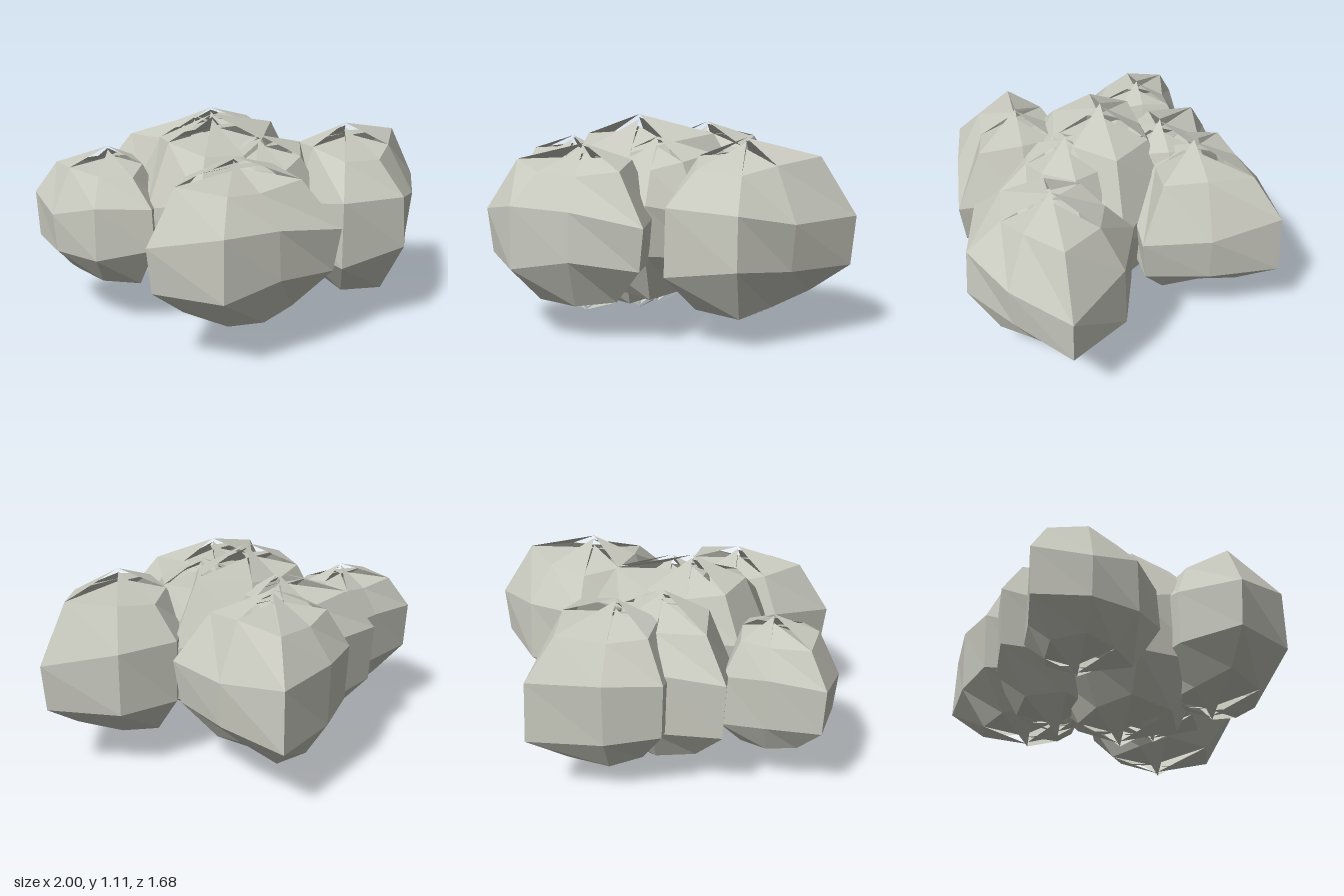
import * as THREE from 'three';

const SIDES = 8;
const CENTRE_Y = 0.557;

// Rings of a boulder from top to bottom, each with eight uneven corners from +x towards +z
const RINGS = [
  { spread: [0.67, 0.62, 0.56, 0.62, 0.67, 0.69, 0.62, 0.65], height: [0.82, 0.76, 0.68, 0.72, 0.8, 0.76, 0.71, 0.77] },
  { spread: [1, 1, 0.96, 0.98, 1, 1, 0.97, 0.97], height: [0.2, 0.2, 0.34, 0.37, 0.2, 0.32, 0.36, 0.34] },
  { spread: [0.96, 0.93, 1, 1, 0.95, 0.97, 0.95, 1], height: [-0.33, -0.3, -0.22, -0.35, -0.33, -0.32, -0.36, -0.36] },
  { spread: [0.6, 0.55, 0.66, 0.62, 0.6, 0.56, 0.62, 0.56], height: [-0.63, -0.75, -0.8, -0.76, -0.66, -0.75, -0.8, -0.75] },
];

// Every cap facet ends at its own height, leaving split, spiky poles
const TIPS = [1, 0.88, 0.95, 0.84, 1, 0.88, 0.97, 0.85];

// Each boulder: name, x, z, half height, eight radii going from +x towards +z
const BOULDERS = [
  ['frontLeftBoulder', 0.435, 0.37, 0.483, [0.565, 0.38, 0.46, 0.52, 0.36, 0.37, 0.44, 0.45]],
  ['frontRightBoulder', -0.4, 0.43, 0.447, [0.38, 0.54, 0.36, 0.44, 0.53, 0.34, 0.35, 0.4]],
  ['backRightBoulder', -0.65, -0.33, 0.39, [0.23, 0.3, 0.42, 0.35, 0.35, 0.41, 0.26, 0.33]],
  ['centreBoulder', -0.19, -0.01, 0.555, [0.62, 0.43, 0.47, 0.51, 0.43, 0.41, 0.36, 0.47]],
  ['backLeftBoulder', 0.14, -0.45, 0.473, [0.41, 0.51, 0.37, 0.36, 0.33, 0.41, 0.39, 0.56]],
  ['backFillerBoulder', -0.08, -0.32, 0.48, [0.3, 0.33, 0.33, 0.33, 0.36, 0.53, 0.36, 0.4]],
  ['frontFillerBoulder', -0.05, 0.21, 0.46, [0.44, 0.36, 0.39, 0.39, 0.29, 0.32, 0.3, 0.4]],
];

function boulderGeometry(halfHeight, radii) {
  const rings = RINGS.map(({ spread, height }) => radii.map((radius, i) => {
    const a = (i / SIDES) * Math.PI * 2;
    const k = radius * spread[i];
    return [Math.cos(a) * k, halfHeight * height[i], Math.sin(a) * k];
  }));
  const points = [];
  const triangle = (...corners) => corners.forEach((c) => points.push(...c));
  const last = rings.length - 1;
  for (let i = 0; i < SIDES; i++) {
    const j = (i + 1) % SIDES;
    // top and bottom caps
    triangle([0, halfHeight * TIPS[i], 0], rings[0][j], rings[0][i]);
    triangle([0, -halfHeight * TIPS[i], 0], rings[last][i], rings[last][j]);
    // sides
    for (let r = 0; r < last; r++) {
      const [a, b, c, d] = [rings[r][i], rings[r][j], rings[r + 1][j], rings[r + 1][i]];
      triangle(a, b, d);
      triangle(b, c, d);
    }
  }
  const geometry = new THREE.BufferGeometry();
  geometry.setAttribute('position', new THREE.Float32BufferAttribute(points, 3));
  geometry.computeVertexNormals();
  return geometry;
}

export function createModel() {
  const group = new THREE.Group();
  group.name = 'boulderCluster';
  const stone = new THREE.MeshStandardMaterial({ color: 0xc8c9be, flatShading: true, side: THREE.DoubleSide });
  stone.name = 'stone';

  BOULDERS.forEach(([name, x, z, halfHeight, radii]) => {
    const mesh = new THREE.Mesh(boulderGeometry(halfHeight, radii), stone);
    mesh.name = name;
    mesh.position.set(x, CENTRE_Y, z);
    group.add(mesh);
  });
  return group;
}
